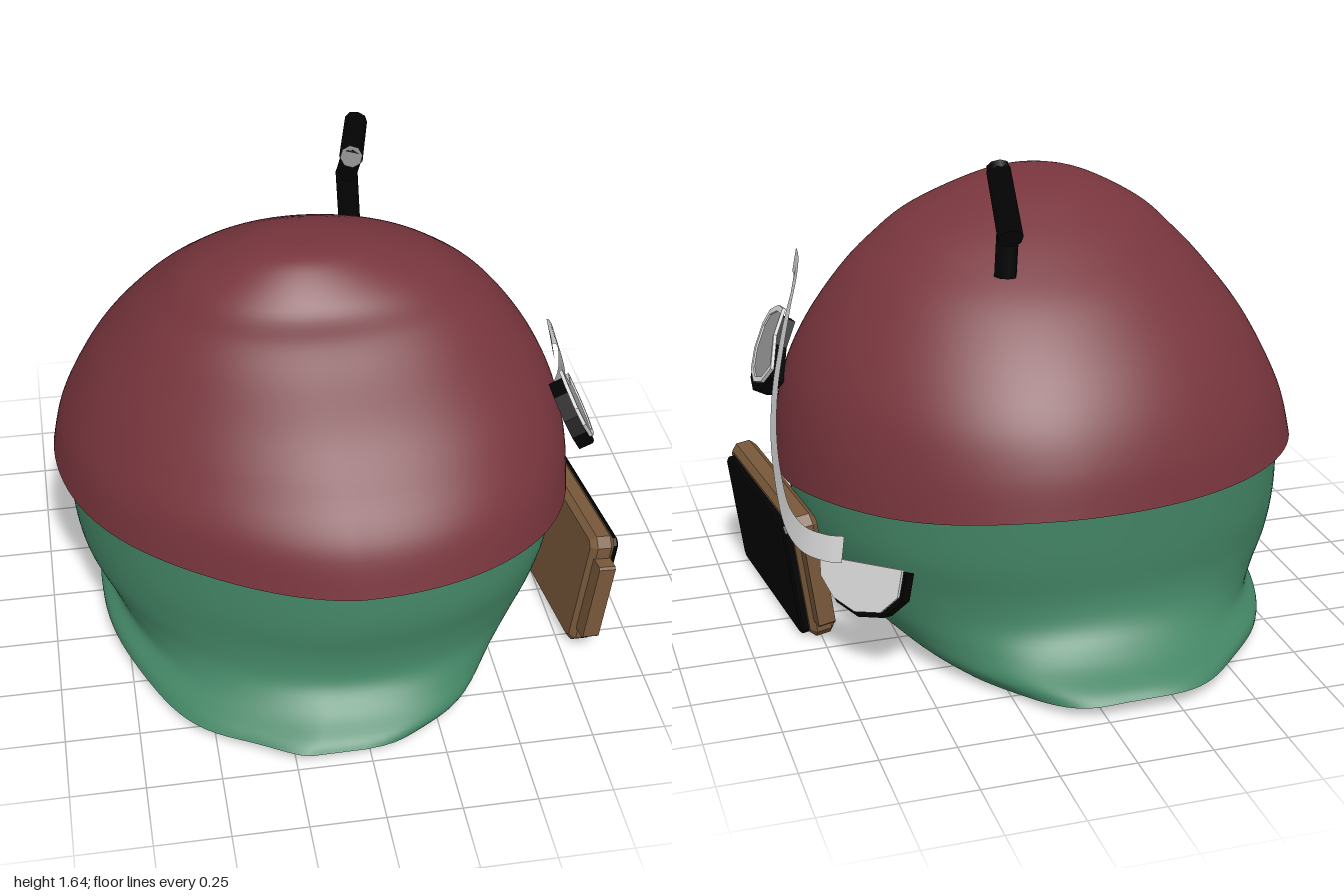
import * as THREE from 'three';

const mat = (name, color, side = THREE.FrontSide) => {
  const m = new THREE.MeshStandardMaterial({ color, side });
  m.name = name;
  return m;
};

// Catmull-Rom blend of two neighbouring cross-section rows
function rowAt(rows, t) {
  const n = rows.length - 1, i = Math.min(Math.floor(t), n - 1), f = t - i;
  const p = k => rows[Math.max(0, Math.min(n, k))];
  return rows[i].map((b, k) => {
    const a = p(i - 1)[k], c = p(i + 1)[k], d = p(i + 2)[k];
    return b + 0.5 * f * (c - a + f * (2 * a - 5 * b + 4 * c - d + f * (3 * (b - c) + d - a)));
  });
}

// Skin of stacked uneven ovals, listed from top to bottom.
// row: y, left x, right x, back z, front z, z of left and right extremes, centre x,
//      fullness of the front +x, front -x and back quarters, weight of lift, ripple and skew
function shell(rows, steps, lift, ripple = 0, skew = 0) {
  const n = 128, pos = [], idx = [], count = (rows.length - 1) * steps;
  for (let j = 0; j <= count; j++) {
    const [y, xl, xr, zb, zf, zl, zr, xc, eR, eL, eB, w] = rowAt(rows, j / steps);
    for (let i = 0; i < n; i++) {
      const a = (i / n) * Math.PI * 2, c = Math.cos(a), s = Math.sin(a);
      const p = 2 / (s < 0 ? eB : c > 0 ? eR : eL), zc = c > 0 ? zr : zl;
      const r = 1 + ripple * w * Math.sin(9 * a) * Math.abs(s);
      const x = xc - w * skew * s + r * Math.sign(c) * Math.abs(c) ** p * (c > 0 ? xr - xc : xc - xl);
      const z = zc + r * s * (s > 0 ? zf - zc : zc - zb);
      pos.push(x, y + w * lift(c, s), z);
      if (j < count) {
        const k = j * n + i, l = j * n + (i + 1) % n;
        idx.push(k, l, k + n, l, l + n, k + n);
      }
    }
  }
  const g = new THREE.BufferGeometry();
  g.setAttribute('position', new THREE.Float32BufferAttribute(pos, 3));
  g.setIndex(idx);
  g.computeVertexNormals();
  return g;
}

const outline = (pts, s = 1) => new THREE.Shape(pts.map(([x, y]) => new THREE.Vector2(x * s, y * s)));

// Rectangle with cut corners
const cutRect = (w, h, c) => outline([
  [-w + c, -h], [w - c, -h], [w, -h + c], [w, h - c], [w - c, h], [-w + c, h], [-w, h - c], [-w, -h + c]]);

const slab = (shape, depth, z, bevel = 0) => new THREE.ExtrudeGeometry(shape, {
  depth, bevelEnabled: bevel > 0, bevelSize: bevel, bevelThickness: bevel, bevelOffset: -bevel, bevelSegments: 1,
}).translate(0, 0, z);

export function createModel() {
  const root = new THREE.Group();
  const red = mat('dark red', 0x78353d), green = mat('green', 0x438565);
  const brown = mat('brown', 0x78583a), black = mat('black', 0x030303);
  const light = mat('light grey', 0xdedede), grey = mat('grey', 0x979797);
  const ribbonMat = mat('ribbon grey', 0xdedede, THREE.DoubleSide);

  const add = (name, geo, material, parent = root) => {
    const m = new THREE.Mesh(geo, material);
    m.name = name;
    parent.add(m);
    return m;
  };
  // Group whose local +z points out of the +x side
  const sideGroup = (name, x, y, z, yaw, pitch) => {
    const g = new THREE.Group();
    g.name = name;
    g.position.set(x, y, z);
    g.rotation.set(-pitch, Math.PI / 2 + yaw, 0, 'YXZ');
    root.add(g);
    return g;
  };

  // Domed cap with a dipping rim
  const rimLift = (c, s) => -0.07 * Math.max(0, c) ** 3 + 0.025 * Math.max(0, -s) + 0.006 * Math.sin(s * 5 + c * 4);
  const rim = [0.6, -0.95, 0.83, -0.82, 0.87, -0.08, 0.1, 0, 2.3, 1.62, 1.95, 1];
  add('cap', shell([
    [1.52, -0.101, -0.099, 0.199, 0.201, 0.2, 0.2, -0.1, 2, 2, 2, 0],
    [1.495, -0.28, 0.1, 0, 0.29, 0.15, 0.15, -0.1, 2, 2, 2, 0],
    [1.4, -0.47, 0.35, -0.2, 0.4, 0.1, 0.12, -0.08, 2.1, 2.1, 2, 0],
    [1.3, -0.58, 0.49, -0.36, 0.45, 0.07, 0.11, -0.06, 2.2, 2.15, 2, 0],
    [1.2, -0.67, 0.59, -0.49, 0.51, 0.04, 0.1, -0.05, 2.3, 2.1, 2, 0],
    [1.05, -0.78, 0.7, -0.63, 0.6, 0, 0.1, -0.04, 2.4, 1.95, 2, 0.1],
    [0.9, -0.86, 0.775, -0.73, 0.71, -0.03, 0.1, -0.02, 2.45, 1.8, 2, 0.3],
    [0.75, -0.92, 0.815, -0.79, 0.82, -0.06, 0.1, -0.01, 2.35, 1.68, 1.95, 0.6],
    rim], 6, rimLift), red);
  add('capLip', shell([rim, [0.605, -0.88, 0.78, -0.75, 0.81, -0.08, 0.1, 0, 2.3, 1.62, 2, 1]], 1, rimLift), red);

  // Base that flares to the front and back at the ground
  const hemLift = (c, s) => 0.04 * s ** 6 + 0.035 * Math.max(0, -c);
  const hem = [0.012, -0.82, 0.44, -0.995, 0.98, -0.05, 0.05, -0.15, 5, 1.7, 1.95, 1];
  add('base', shell([
    [0.68, -0.9, 0.78, -0.77, 0.83, -0.08, 0.1, -0.03, 2.35, 1.62, 2.12, 0],
    [0.45, -0.9, 0.78, -0.76, 0.84, -0.08, 0.1, -0.03, 2.35, 1.65, 2.12, 0],
    [0.3, -0.88, 0.75, -0.75, 0.82, -0.07, 0.1, -0.05, 2.35, 1.7, 2.05, 0],
    [0.2, -0.83, 0.7, -0.78, 0.83, -0.06, 0.08, -0.08, 2.5, 1.75, 2, 0],
    [0.12, -0.79, 0.62, -0.86, 0.89, -0.05, 0.06, -0.11, 3, 1.75, 1.95, 0.2],
    [0.055, -0.82, 0.53, -0.96, 0.96, -0.05, 0.05, -0.14, 4, 1.7, 1.95, 0.6],
    hem], 5, hemLift, 0.015, 0.05), green);
  add('underside', shell([
    hem,
    [0.002, -0.66, 0.36, -0.78, 0.78, 0, 0, -0.16, 3, 1.9, 1.9, 0.4],
    [0.015, -0.35, 0.1, -0.4, 0.4, 0, 0, -0.16, 2.2, 2, 2, 0.1],
    [0.03, -0.161, -0.159, -0.001, 0.001, 0, 0, -0.16, 2, 2, 2, 0]], 4, hemLift, 0.015, 0.05), green);

  // Bent stem
  const stem = [[0.14, 1.3, -0.335], [0.13, 1.475, -0.335], [0.12, 1.605, -0.195], [0.215, 1.512, -0.635]]
    .map(p => new THREE.Vector3(...p));
  for (let i = 0; i < 3; i++) {
    const d = stem[i + 1].clone().sub(stem[i]);
    const geo = new THREE.CylinderGeometry(0.038, 0.038, d.length() + (i === 1 ? 0.035 : 0.015), 8);
    if (i === 2) geo.scale(1.05, 1, 0.75);
    const m = add('stem' + (i + 1), geo, black);
    m.position.copy(stem[i]).addScaledVector(d, 0.5);
    m.quaternion.setFromUnitVectors(new THREE.Vector3(0, 1, 0), d.normalize());
  }

  // Framed screen with a tab at each end
  const device = sideGroup('device', 0.812, 0.237, 0.185, 0.11, -0.13);
  add('deviceFrame', slab(cutRect(0.382, 0.23, 0.03), 0.05, -0.025, 0.02), brown, device);
  add('deviceTabs', slab(cutRect(0.435, 0.156, 0.008), 0.06, -0.03), brown, device);
  add('deviceScreen', slab(cutRect(0.348, 0.208, 0.02), 0.03, 0.035, 0.008).translate(0, -0.01, 0), black, device);

  // Front eye: notched disc over a dark cup
  const eyePts = [[-0.18, 0.03], [-0.14, -0.057], [-0.06, -0.113], [0.04, -0.124], [0.13, -0.09],
    [0.18, -0.02], [0.03, 0.057], [-0.01, 0.147], [-0.08, 0.135], [-0.16, 0.09]];
  const frontEye = sideGroup('frontEye', 0.812, 0.9, 0.32, -0.05, 0.46);
  const ring = outline(eyePts);
  ring.holes.push(new THREE.Path(eyePts.map(([x, y]) => new THREE.Vector2(x * 0.86, y * 0.86)).reverse()));
  add('frontEyeCup', slab(outline(eyePts), 0.05, -0.06).translate(0, -0.03, 0), black, frontEye);
  add('frontEyeRim', slab(ring, 0.012, -0.01), light, frontEye);
  add('frontEyeFace', slab(outline(eyePts, 0.88), 0.006, -0.01), grey, frontEye);

  // Back eye: half disc
  const halfPts = [[-0.18, 0.045], [-0.165, -0.02], [-0.1, -0.075], [0, -0.095], [0.11, -0.065], [0.175, 0.005], [0.18, 0.1]];
  const backEye = sideGroup('backEye', 0.685, 0.337, -0.469, 0.58, 0.2);
  add('backEyeCup', slab(outline(halfPts), 0.04, -0.05).translate(0.01, -0.016, 0), black, backEye);
  add('backEyeFace', slab(outline(halfPts), 0.01, -0.01), light, backEye);

  // Wavy ribbon, nearly upright
  const path = new THREE.CatmullRomCurve3([
    [0.685, 1.18, 0.41], [0.695, 1.18, 0.33], [0.72, 1.14, 0.25], [0.76, 1.07, 0.17], [0.8, 0.97, 0.1],
    [0.84, 0.84, 0.03], [0.865, 0.7, -0.05], [0.87, 0.57, -0.15], [0.865, 0.5, -0.25],
    [0.84, 0.48, -0.38], [0.79, 0.495, -0.5], [0.75, 0.515, -0.57]].map(p => new THREE.Vector3(...p)));
  const pos = [], idx = [], N = 60;
  for (let i = 0; i <= N; i++) {
    const p = path.getPoint(i / N), t = path.getTangent(i / N), l = Math.hypot(t.y, t.z);
    const wy = -t.z / l * 0.042, wz = t.y / l * 0.042, wx = -0.2 * wy;
    pos.push(p.x + wx, p.y + wy, p.z + wz, p.x - wx, p.y - wy, p.z - wz);
    if (i < N) idx.push(2 * i, 2 * i + 1, 2 * i + 2, 2 * i + 1, 2 * i + 3, 2 * i + 2);
  }
  const ribbon = new THREE.BufferGeometry();
  ribbon.setAttribute('position', new THREE.Float32BufferAttribute(pos, 3));
  ribbon.setIndex(idx);
  ribbon.computeVertexNormals();
  add('ribbon', ribbon, ribbonMat);

  return root;
}
